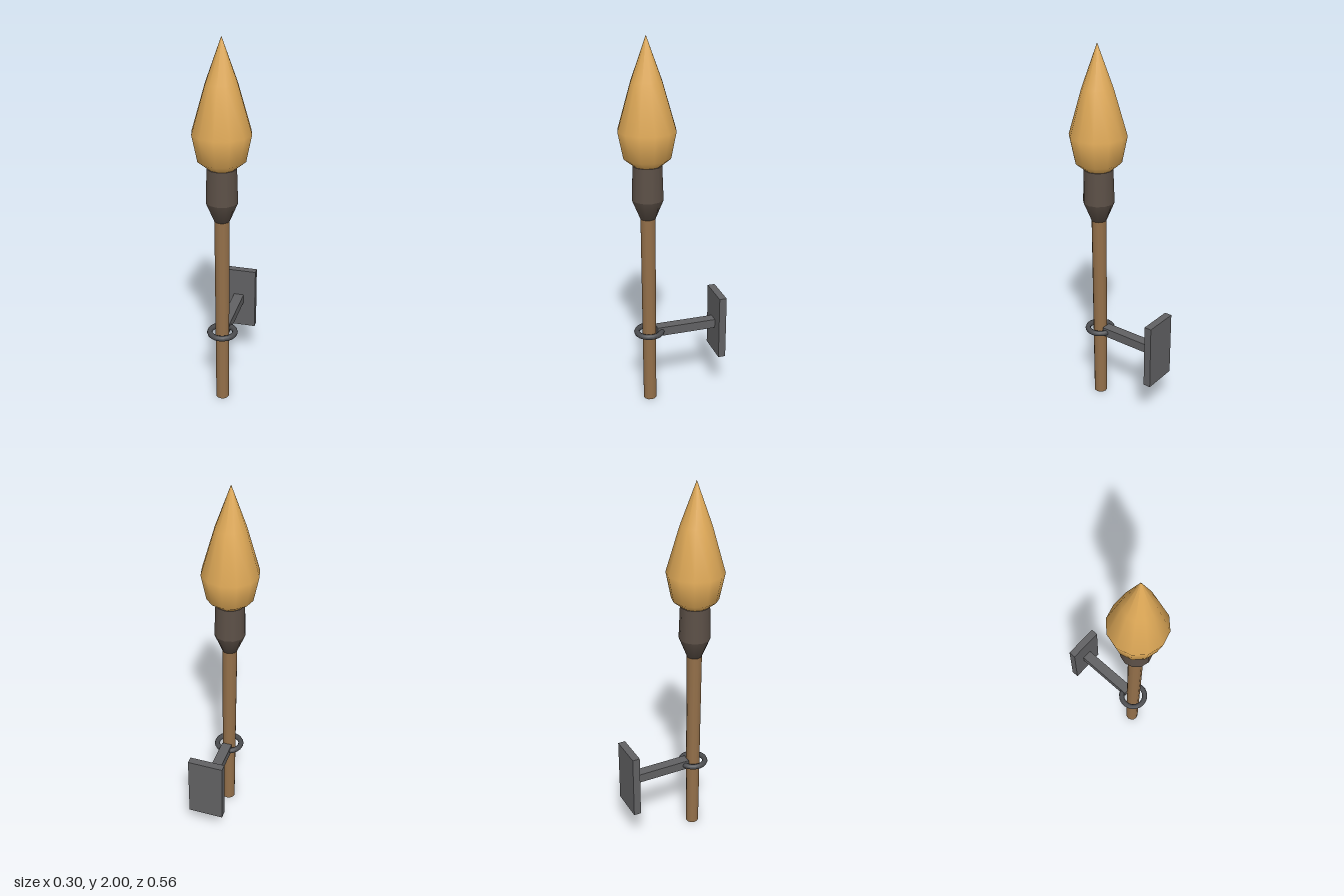
import * as THREE from 'three';

const AXIS_Z = 0.13; // the torch stands in front of its wall plate

function material(name, color) {
  const m = new THREE.MeshStandardMaterial({ color });
  m.name = name;
  return m;
}

export function createModel() {
  const group = new THREE.Group();
  group.name = 'wallTorch';

  const wood = material('wood', 0x94704a);
  const wrapCloth = material('charredWrap', 0x5c5047);
  const flameGold = material('flameGold', 0xe0aa58);
  const iron = material('iron', 0x616163);
  const darkIron = material('darkIron', 0x4c4d50);

  function add(name, geometry, mat, x, y, z) {
    const mesh = new THREE.Mesh(geometry, mat);
    mesh.name = name;
    mesh.position.set(x, y, z);
    group.add(mesh);
    return mesh;
  }

  const lathe = (points) =>
    new THREE.LatheGeometry(points.map(([r, y]) => new THREE.Vector2(r, y)), 12);

  // Tapered wooden handle
  add('handle', new THREE.CylinderGeometry(0.04, 0.036, 1.1, 12), wood, 0, 0.55, AXIS_Z);

  // Wrapped head, flaring out from the handle
  add('wrap', lathe([[0, 1.075], [0.04, 1.075], [0.083, 1.18]]), wrapCloth, 0, 0, AXIS_Z);
  add('wrapCollar', new THREE.CylinderGeometry(0.077, 0.083, 0.18, 12), wrapCloth, 0, 1.27, AXIS_Z);

  // Flame, twelve-sided teardrop
  add('flame', lathe([[0, 1.33], [0.06, 1.35], [0.122, 1.4], [0.15, 1.54], [0.08, 1.78], [0, 2]]),
    flameGold, 0, 0, AXIS_Z);

  // Ring around the handle
  const ring = add('ring', new THREE.TorusGeometry(0.068, 0.015, 8, 20), darkIron, 0, 0.415, AXIS_Z);
  ring.rotation.x = Math.PI / 2;

  // Bracket arm and wall plate
  add('arm', new THREE.BoxGeometry(0.056, 0.05, 0.335), iron, 0, 0.415, -0.0775);
  add('wallPlate', new THREE.BoxGeometry(0.19, 0.357, 0.04), iron, 0, 0.417, -0.26);

  return group;
}
